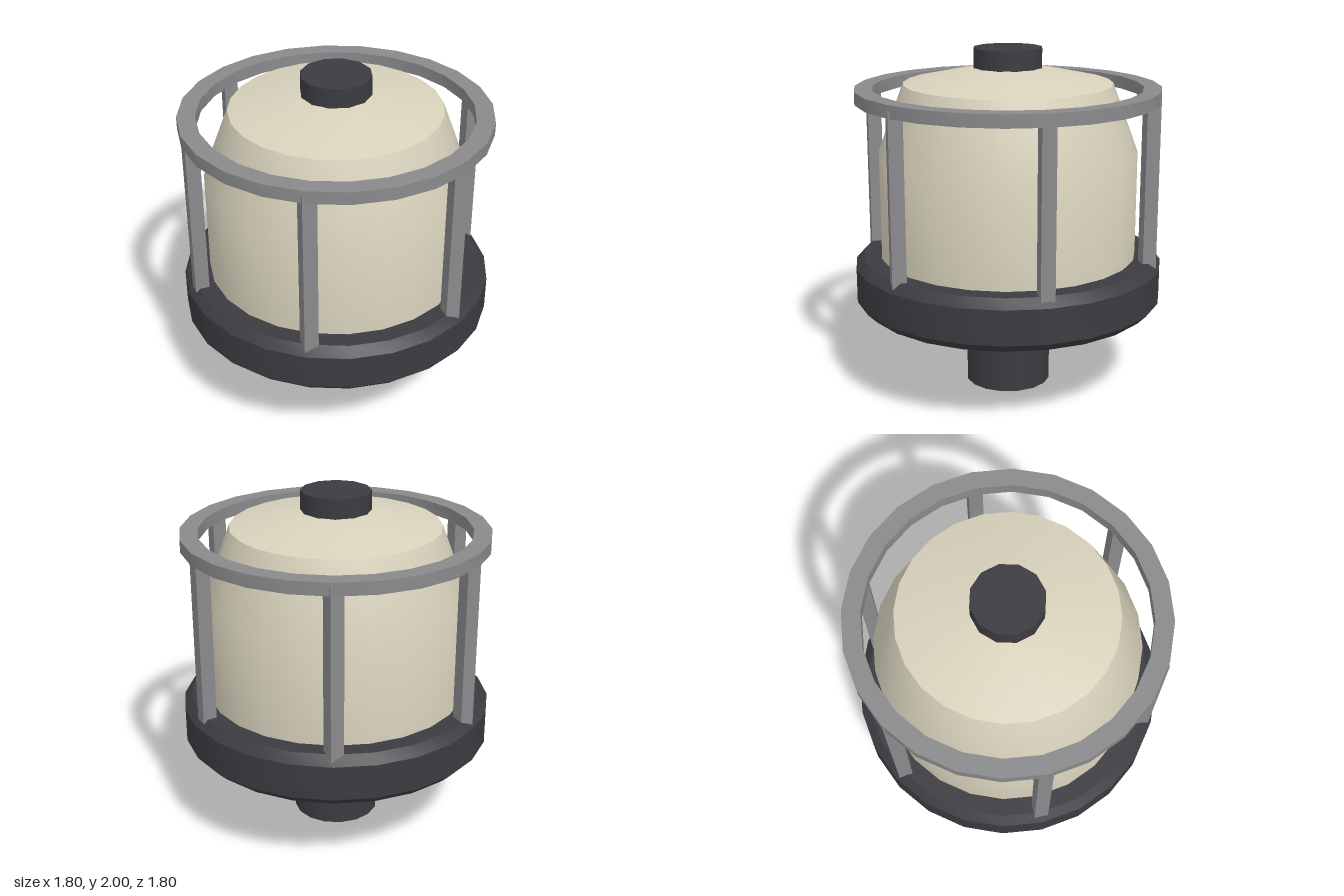
import * as THREE from 'three';
import { toCreasedNormals } from 'three/addons/utils/BufferGeometryUtils.js';

const SIDES = 24;

export function createModel() {
  const model = new THREE.Group();
  model.name = 'beaconLamp';

  const material = (name, color) => {
    const m = new THREE.MeshStandardMaterial({ color });
    m.name = name;
    return m;
  };
  const darkMetal = material('darkMetal', 0x3c3b40);
  const greyMetal = material('greyMetal', 0x8a898c);
  const creamGlass = material('creamGlass', 0xd8d2bc);

  const add = (name, geometry, mat, x = 0, y = 0, z = 0) => {
    const mesh = new THREE.Mesh(geometry, mat);
    mesh.name = name;
    mesh.position.set(x, y, z);
    model.add(mesh);
  };
  // Turned part from [radius, height] pairs, bottom to top
  const turned = (pairs, crease, sides = SIDES) => toCreasedNormals(
    new THREE.LatheGeometry(pairs.map(([r, y]) => new THREE.Vector2(r, y)), sides), crease);

  // Mounting post and chamfered base
  add('post', new THREE.CylinderGeometry(0.25, 0.25, 0.52, 16), darkMetal, 0, 0.26, 0);
  add('base', turned([[0, 0.5], [0.85, 0.5], [0.9, 0.55], [0.9, 0.75], [0.85, 0.8], [0, 0.8]], 0.6), darkMetal);

  // Lamp dome: smooth shoulder, crisp edge at the lid
  add('dome', turned([[0.75, 0.79], [0.75, 1.4], [0.6, 1.8], [0.19, 1.89], [0, 1.89]], 0.65), creamGlass);
  add('cap', new THREE.CylinderGeometry(0.2, 0.2, 0.14, 12), darkMetal, 0, 1.93, 0);

  // Protective cage: six square bars and a flat hoop
  for (let i = 0; i < 6; i++) {
    const a = i * Math.PI / 3;
    add('cageBar' + (i + 1), new THREE.BoxGeometry(0.08, 1, 0.08), greyMetal,
      0.83 * Math.cos(a), 1.25, 0.83 * Math.sin(a));
  }
  add('cageHoop', turned([[0.775, 1.705], [0.878, 1.705], [0.878, 1.778], [0.775, 1.778], [0.775, 1.705]], 0.6), greyMetal);

  return model;
}
